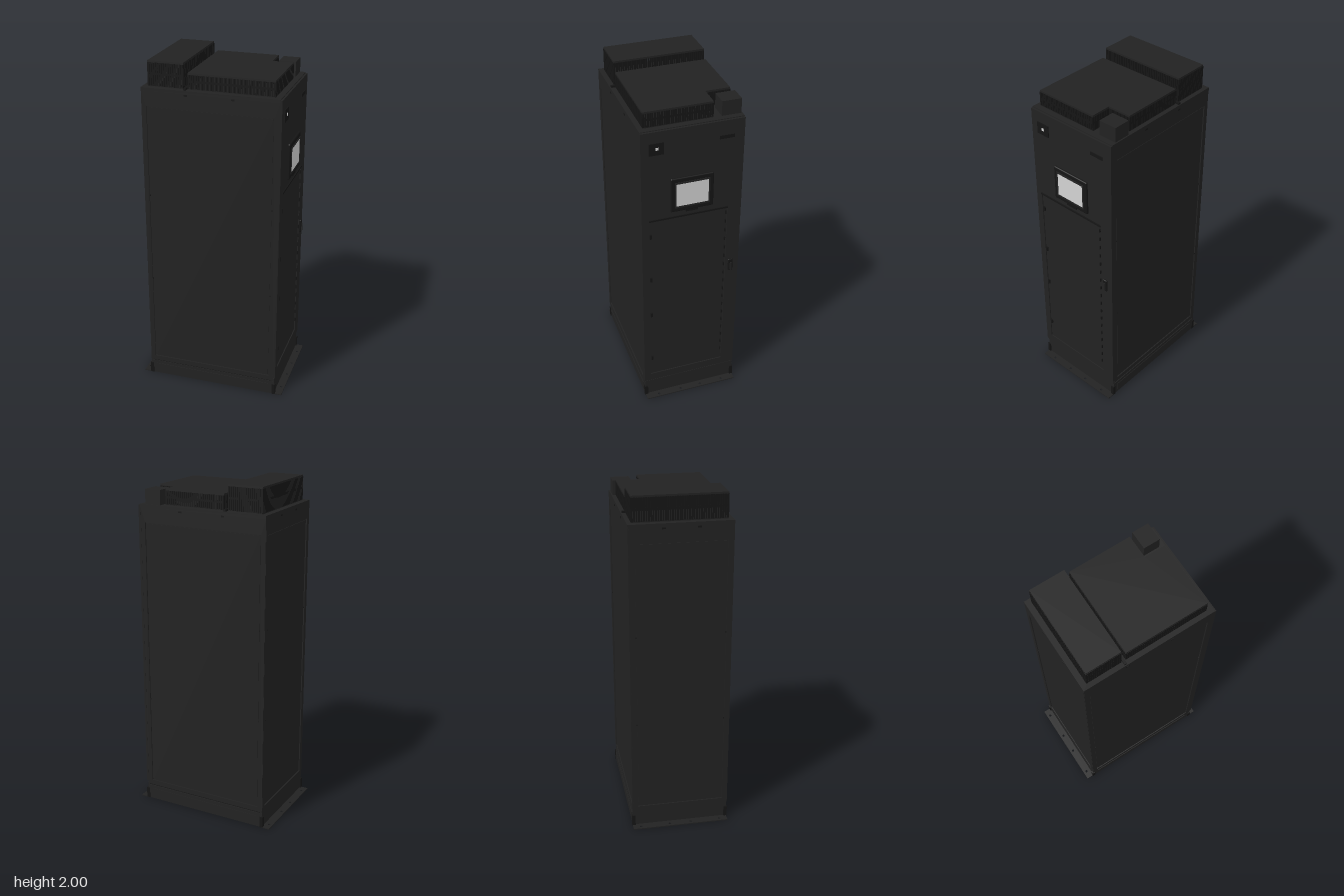
import * as THREE from 'three';
import { mergeGeometries } from 'three/addons/utils/BufferGeometryUtils.js';
import { RoundedBoxGeometry } from 'three/addons/geometries/RoundedBoxGeometry.js';

const mat = (name, color) => {
  const m = new THREE.MeshStandardMaterial({ color });
  m.name = name;
  return m;
};

export function createModel() {
  const black = mat('cabinetBlack', 0x222222);
  const dark = mat('hardwareBlack', 0x151515);
  const screenGrey = mat('screenGrey', 0xd2d2d2);
  const model = new THREE.Group();
  model.name = 'controlCabinet';

  const add = (parent, name, geo, material = black) => {
    const m = new THREE.Mesh(geo, material);
    m.name = name;
    parent.add(m);
    return m;
  };
  // box from its limits on each axis
  const boxGeo = (x0, x1, y0, y1, z0, z1) =>
    new THREE.BoxGeometry(x1 - x0, y1 - y0, z1 - z0)
      .translate((x0 + x1) / 2, (y0 + y1) / 2, (z0 + z1) / 2);
  const box = (parent, name, lim, material) => add(parent, name, boxGeo(...lim), material);

  const rectPath = (target, x0, x1, y0, y1) => {
    target.moveTo(x0, y0);
    target.lineTo(x1, y0);
    target.lineTo(x1, y1);
    target.lineTo(x0, y1);
    target.closePath();
    return target;
  };
  // flat frame in the xy plane with rectangular openings
  const frameGeo = (outer, openings, depth) => {
    const s = rectPath(new THREE.Shape(), ...outer);
    openings.forEach(o => s.holes.push(rectPath(new THREE.Path(), ...o)));
    return new THREE.ExtrudeGeometry(s, { depth, bevelEnabled: false });
  };

  // main body and roof
  box(model, 'body', [-0.39, 0.382, 0.1, 1.835, -0.284, 0.278]);
  box(model, 'roof', [-0.397, 0.392, 1.835, 1.855, -0.292, 0.285]);

  // recessed panels on the front, back and plain side
  const wall = (name, width, rotY, x, z) => {
    const g = new THREE.Group();
    g.name = name;
    const h = width / 2;
    add(g, name + 'Frame', frameGeo([-h, h, 0.1, 1.835], [[-h + 0.028, h - 0.028, 0.13, 1.75]], 0.008));
    box(g, name + 'Panel', [-h + 0.034, h - 0.034, 0.136, 1.744, 0, 0.004]);
    for (const s of [-1, 1]) for (const y of [0.675, 1.215])
      box(g, name + 'Clip', [s * (h - 0.03) - 0.004, s * (h - 0.03) + 0.004, y - 0.004, y + 0.004, 0, 0.006], dark);
    for (const s of [-0.34, 0.34])
      box(g, name + 'Latch', [s * h - 0.01, s * h + 0.01, 1.824, 1.833, 0.006, 0.01], dark);
    g.rotation.y = rotY;
    g.position.set(x, 0, z);
    model.add(g);
  };
  wall('frontWall', 0.786, 0, -0.003, 0.277);
  wall('backWall', 0.786, Math.PI, -0.003, -0.283);
  wall('sideWall', 0.568, -Math.PI / 2, -0.389, -0.003);

  // door: local x runs towards the back
  const door = new THREE.Group();
  door.name = 'door';
  add(door, 'doorFrame', frameGeo([-0.285, 0.292, 0.12, 1.85], [[-0.245, 0.212, 0.17, 1.31]], 0.014));
  box(door, 'doorPanel', [-0.245, 0.212, 0.17, 1.31, 0, 0.008]);
  box(door, 'doorLedge', [-0.245, 0.212, 1.302, 1.312, 0, 0.02], dark);
  for (let i = 0; i < 18; i++)
    box(door, 'doorClip', [0.2, 0.206, 0.24 + i * 0.06, 0.262 + i * 0.06, 0.006, 0.016], dark);
  for (const y of [0.3, 0.64, 0.9, 1.2])
    box(door, 'doorHinge', [-0.24, -0.228, y - 0.014, y + 0.014, 0.006, 0.016], dark);

  // display with its bezel
  add(door, 'displayBezel', new RoundedBoxGeometry(0.245, 0.21, 0.016, 3, 0.007).translate(0, 1.45, 0.018), dark);
  add(door, 'displayRim', frameGeo([-0.1, 0.1, 1.37, 1.53], [[-0.092, 0.092, 1.38, 1.52]], 0.004), black).position.z = 0.025;
  box(door, 'displayScreen', [-0.092, 0.092, 1.38, 1.52, 0.02, 0.0275], screenGrey);
  box(door, 'displayLatch', [-0.035, 0.035, 1.333, 1.35, 0.012, 0.022], dark);

  // small plates and handle
  box(door, 'cornerPlate', [-0.24, -0.158, 1.715, 1.785, 0.013, 0.019], dark);
  box(door, 'indicator', [-0.205, -0.19, 1.745, 1.76, 0.018, 0.022], screenGrey);
  box(door, 'upperPlate', [0.15, 0.235, 1.745, 1.765, 0.013, 0.018], dark);
  add(door, 'handlePlate', new RoundedBoxGeometry(0.028, 0.08, 0.012, 3, 0.005).translate(0.243, 0.9, 0.018), dark);
  box(door, 'handleGrip', [0.238, 0.248, 0.87, 0.92, 0.02, 0.03], black);
  door.rotation.y = Math.PI / 2;
  door.position.x = 0.389;
  model.add(door);
  box(model, 'doorSeal', [0.38, 0.39, 0.13, 1.835, -0.27, 0.265], dark);

  // hollow plinth
  const plinth = new THREE.Group();
  plinth.name = 'plinth';
  for (const s of [-1, 1]) {
    const z = s > 0 ? 0.276 : -0.286;
    box(plinth, 'plinthRail', [-0.395, 0.395, 0.003, 0.092, z - 0.005, z + 0.005]);
    box(plinth, 'plinthRib', [-0.36, 0.36, 0.02, 0.072, z + s * 0.005 - 0.003, z + s * 0.005 + 0.003]);
    box(plinth, 'plinthFoot', [-0.39, 0.39, 0.003, 0.009, z - s * 0.055 - 0.004, z + 0.004].map((v, i, a) =>
      i === 4 ? Math.min(z, z - s * 0.055) : i === 5 ? Math.max(z, z - s * 0.055) : v));
    box(plinth, 'plinthSide', [s * 0.39 - 0.006, s * 0.39 + 0.006, 0.003, 0.11, -0.29, 0.28]);
    for (const zz of [-0.285, 0.275])
      box(plinth, 'plinthCorner', [s * 0.393 - 0.01, s * 0.393 + 0.01, 0.003, 0.07, zz - 0.01, zz + 0.01], dark);
    // bolt flange with four holes
    const flange = rectPath(new THREE.Shape(), s > 0 ? 0.39 : -0.445, s > 0 ? 0.443 : -0.39, -0.28, 0.292);
    const zs = s > 0 ? [-0.21, -0.07, 0.058, 0.2] : [-0.245, -0.07, 0.058, 0.233];
    zs.forEach(v => flange.holes.push(new THREE.Path().absarc(s * 0.424, -v, 0.008, 0, Math.PI * 2, true)));
    const f = add(plinth, 'boltFlange', new THREE.ExtrudeGeometry(flange, { depth: 0.006, bevelEnabled: false, curveSegments: 8 }));
    f.rotation.x = -Math.PI / 2;
  }
  box(plinth, 'cabinetFloor', [-0.39, 0.385, 0.09, 0.102, -0.285, 0.278], dark);
  add(plinth, 'floorFrame', frameGeo([-0.34, 0.34, -0.23, 0.23], [[-0.28, 0.28, -0.17, 0.17]], 0.02).rotateX(-Math.PI / 2).translate(0, 0.07, 0));
  model.add(plinth);

  // roof unit: outline in x and z, solid lid, slotted walls
  const roofUnit = (name, pts, top) => {
    const g = new THREE.Group();
    g.name = name;
    const outline = new THREE.Shape(pts.map(([x, z]) => new THREE.Vector2(x, -z)));
    const slab = (part, y, depth) => add(g, name + part,
      new THREE.ExtrudeGeometry(outline, { depth, bevelEnabled: false }).rotateX(-Math.PI / 2).translate(0, y, 0));
    slab('Lid', top - 0.012, 0.012);
    slab('Base', 1.855, 0.008);
    const bars = [];
    pts.forEach(([x0, z0], i) => {
      const [x1, z1] = pts[(i + 1) % pts.length];
      const len = Math.hypot(x1 - x0, z1 - z0);
      const angle = -Math.atan2(z1 - z0, x1 - x0);
      const n = Math.round(len / 0.013);
      const place = geo => bars.push(geo.rotateY(angle).translate(x0, 0, z0));
      for (let k = 0; k <= n; k++) {
        const c = (k / n) * (len - 0.01) + 0.005;
        place(boxGeo(c - 0.005, c + 0.005, 1.86, top - 0.01, -0.002, 0.002));
      }
      // middle rail between slot rows
      const mid = (1.855 + top) / 2;
      place(boxGeo(0, len, mid - 0.006, mid + 0.006, -0.0015, 0.0015));
    });
    add(g, name + 'Grille', mergeGeometries(bars), dark);
    model.add(g);
  };
  const rect = (x0, x1, z0, z1) => [[x0, z0], [x0, z1], [x1, z1], [x1, z0]];
  roofUnit('tallVent', rect(-0.363, -0.158, -0.268, 0.257), 2.0);
  roofUnit('wideVent', [[-0.132, -0.268], [-0.132, 0.257], [0.358, 0.257], [0.358, -0.128], [0.236, -0.128], [0.236, -0.268]], 1.948);
  box(model, 'cableBox', [0.262, 0.36, 1.85, 1.94, -0.285, -0.175]);
  box(model, 'roofDivider', [-0.152, -0.138, 1.85, 1.866, -0.288, 0.28], dark);

  return model;
}
